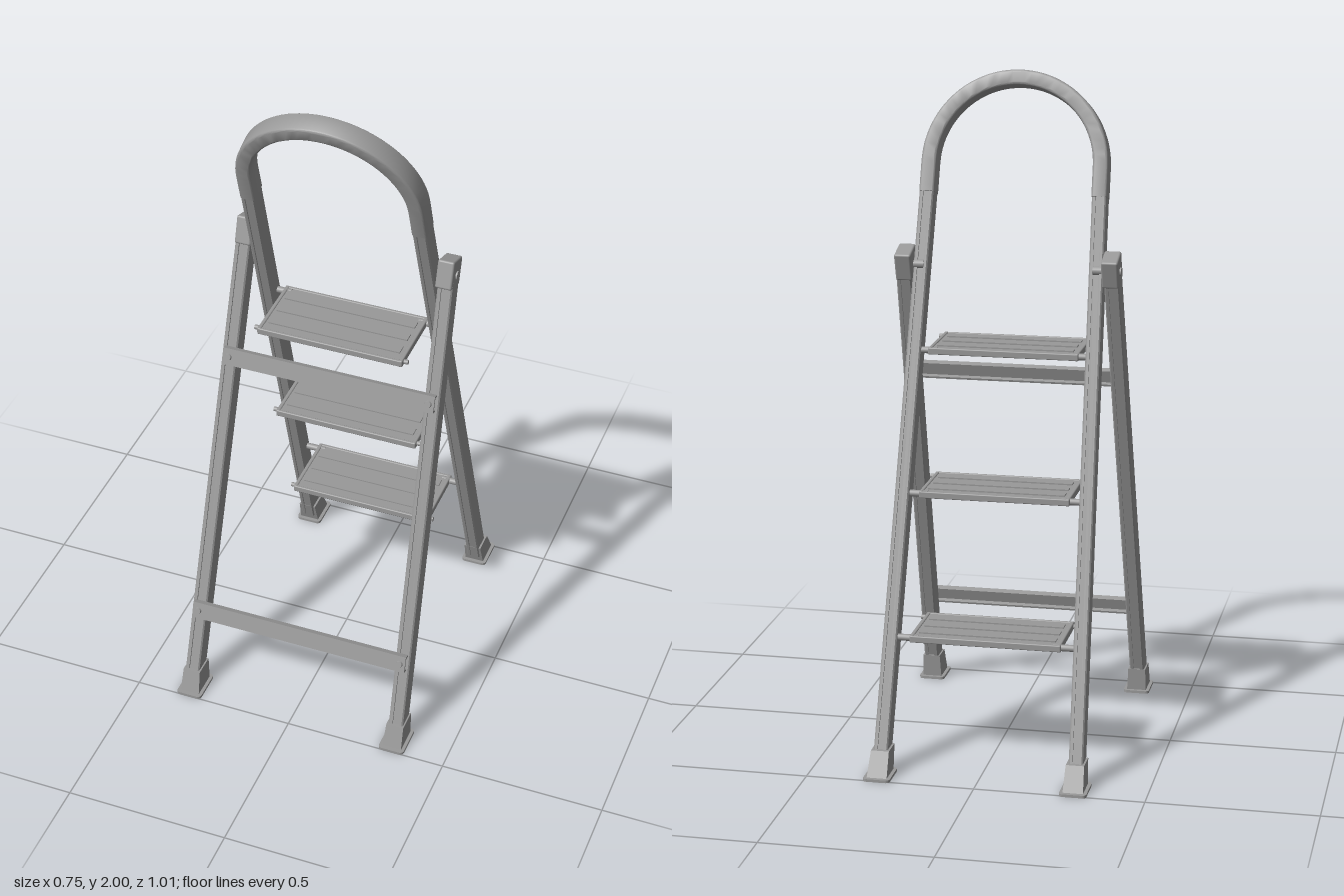
import * as THREE from 'three';
import { toCreasedNormals } from 'three/addons/utils/BufferGeometryUtils.js';
import { RoundedBoxGeometry } from 'three/addons/geometries/RoundedBoxGeometry.js';

const LEAN = 0.309; // tilt of both frames from vertical
const metal = new THREE.MeshStandardMaterial({ color: 0x999999 });
metal.name = 'grey metal';

function add(parent, name, geometry, x = 0, y = 0, z = 0) {
  const mesh = new THREE.Mesh(geometry, metal);
  mesh.name = name;
  mesh.position.set(x, y, z);
  parent.add(mesh);
  return mesh;
}

// Rod lying along x
const rod = (r, length) => new THREE.CylinderGeometry(r, r, length, 16).rotateZ(Math.PI / 2);

// Rectangle with cut corners and a shallow groove in the two y sides
function railShape(w, d, cut, groove, depth) {
  const a = w / 2, b = d / 2, g = groove / 2;
  const half = [[a, -b + cut], [a, b - cut], [a - cut, b], [g, b], [g, b - depth],
    [-g, b - depth], [-g, b], [-a + cut, b]];
  const pts = [...half, ...half.map(([x, y]) => [-x, -y])];
  return new THREE.Shape(pts.map(([x, y]) => new THREE.Vector2(x, y)));
}

function roundedRect(w, h, r) {
  const a = w / 2, b = h / 2;
  const s = new THREE.Shape();
  s.absarc(a - r, b - r, r, 0, Math.PI / 2);
  s.absarc(-a + r, b - r, r, Math.PI / 2, Math.PI);
  s.absarc(-a + r, -b + r, r, Math.PI, Math.PI * 1.5);
  s.absarc(a - r, -b + r, r, Math.PI * 1.5, Math.PI * 2);
  return s;
}

// Straight rail between two points of a frame plane
function addRail(parent, name, x0, y0, x1, y1, w) {
  const length = Math.hypot(x1 - x0, y1 - y0);
  const geo = new THREE.ExtrudeGeometry(railShape(w, 0.06, 0.004, w * 0.45, 0.005),
    { depth: length, bevelEnabled: false }).rotateX(-Math.PI / 2);
  add(parent, name, geo, x0, y0, 0).rotation.z = -Math.atan2(x1 - x0, y1 - y0);
}

// Flat pad with a tapered boot that holds the rail end
function addFoot(parent, x, z, topX, topZ) {
  const foot = new THREE.Group();
  foot.name = 'foot';
  const pad = new THREE.ExtrudeGeometry(roundedRect(0.08, 0.11, 0.012),
    { depth: 0.008, bevelEnabled: false, curveSegments: 5 }).rotateX(-Math.PI / 2);
  add(foot, 'footPad', pad, x, 0, z);
  const boot = new THREE.BoxGeometry(0.06, 0.072, 0.086);
  const p = boot.attributes.position;
  for (let i = 0; i < p.count; i++) {
    if (p.getY(i) > 0) p.setXYZ(i, p.getX(i) * 0.9 + topX - x, p.getY(i), p.getZ(i) * 0.8 + topZ - z);
  }
  boot.computeVertexNormals();
  add(foot, 'footBoot', boot, x, 0.042, z);
  parent.add(foot);
}

// C-shaped crossbar along x, fixed with a rivet at each end
function addCrossbar(parent, y, half) {
  const h = 0.026, t = 0.006, d = 0.02;
  const s = new THREE.Shape([[0, -h], [0, h], [d, h], [d, h - t], [t, h - t], [t, -h + t], [d, -h + t], [d, -h]]
    .map(([a, b]) => new THREE.Vector2(a, b)));
  const geo = new THREE.ExtrudeGeometry(s, { depth: half * 2, bevelEnabled: false })
    .translate(0, 0, -half).rotateY(Math.PI / 2);
  add(parent, 'crossbar', geo, 0, y, 0.05);
  for (const side of [-1, 1]) {
    add(parent, 'rivet', new THREE.CylinderGeometry(0.009, 0.011, 0.005, 16).rotateX(Math.PI / 2),
      side * (half - 0.018), y, 0.052);
  }
}

// Tread with end caps, raised grip strips, a lip below and pivot pins
function makeStep(y, back) {
  const step = new THREE.Group();
  step.name = 'step';
  add(step, 'tread', new THREE.BoxGeometry(0.43, 0.01, 0.226), 0, 0.003, 0.115);
  for (const z of [0.005, 0.225]) {
    add(step, 'treadLip', new RoundedBoxGeometry(0.44, 0.02, 0.01, 2, 0.003), 0, 0, z);
  }
  for (const side of [-1, 1]) {
    add(step, 'treadEnd', new RoundedBoxGeometry(0.012, 0.022, 0.23, 2, 0.004), side * 0.219, 0, 0.115);
    const reach = 0.272 - y * 0.017;
    add(step, 'rearPin', rod(0.01, reach - 0.2), side * (reach + 0.2) / 2, 0, 0.016);
    add(step, 'frontPin', rod(0.007, 0.03), side * 0.223, 0, 0.212);
  }
  for (let i = 0; i < 3; i++) {
    add(step, 'gripStrip', new THREE.BoxGeometry(0.408, 0.006, 0.03), 0, 0.009, 0.05 + i * 0.0635);
  }
  step.position.set(0, y, back);
  return step;
}

// Padded hoop handle swept round the top of the rear frame
function makeHandle() {
  const r = 0.257, centre = 1.809;
  const path = new THREE.CurvePath();
  const arc = [];
  for (let i = 0; i <= 24; i++) {
    const a = Math.PI * i / 24;
    arc.push(new THREE.Vector3(r * Math.cos(a), centre + r * Math.sin(a), 0));
  }
  path.add(new THREE.LineCurve3(new THREE.Vector3(r + 0.001, 1.72, 0), arc[0]));
  path.add(new THREE.CatmullRomCurve3(arc));
  path.add(new THREE.LineCurve3(arc[24], new THREE.Vector3(-r - 0.001, 1.72, 0)));
  const geo = new THREE.ExtrudeGeometry(roundedRect(0.066, 0.046, 0.009),
    { steps: 56, curveSegments: 3, extrudePath: path, bevelEnabled: false });
  return toCreasedNormals(geo, 0.5);
}

export function createModel() {
  const model = new THREE.Group();
  model.name = 'stepLadder';

  // Rear frame: rails that carry the steps and the hoop
  const rear = new THREE.Group();
  rear.name = 'rearFrame';
  rear.position.z = -0.44;
  rear.rotation.x = LEAN;
  add(rear, 'hoopHandle', makeHandle());

  // Front frame: supporting legs with crossbars
  const front = new THREE.Group();
  front.name = 'frontFrame';
  front.position.z = 0.455;
  front.rotation.x = -LEAN;
  addCrossbar(front, 1.125, 0.33);
  addCrossbar(front, 0.287, 0.345);

  for (const s of [-1, 1]) {
    addRail(rear, 'rearRail', s * 0.29, 0.04, s * 0.2575, 1.76, 0.042);
    addRail(front, 'frontLeg', s * 0.335, 0.04, s * 0.31, 1.53, 0.045);
    // Hinge cap and pivot
    add(front, 'hingeCap', new RoundedBoxGeometry(0.05, 0.085, 0.078, 2, 0.006), s * 0.308, 1.515, 0);
    add(front, 'hingePin', rod(0.013, 0.085), s * 0.295, 1.51, 0);
    addFoot(model, s * 0.29, -0.453, s * 0.289, -0.422);
    addFoot(model, s * 0.333, 0.447, s * 0.334, 0.432);
  }
  model.add(rear, front);

  for (let i = 0; i < 3; i++) model.add(makeStep(0.388 + i * 0.403, -0.345 + i * 0.13));
  return model;
}
